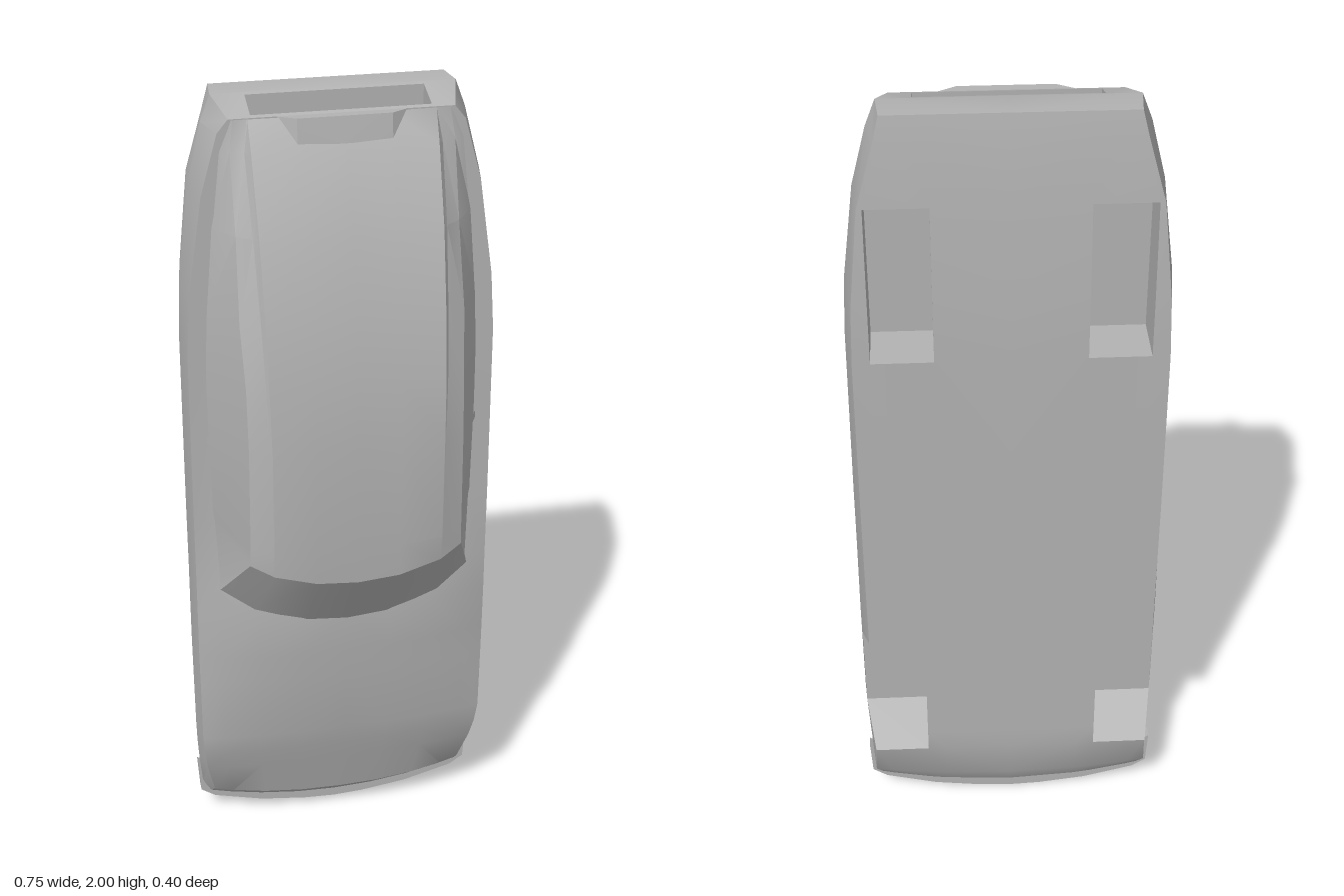
import * as THREE from 'three';
import { toCreasedNormals } from 'three/addons/utils/BufferGeometryUtils.js';

const paint = new THREE.MeshStandardMaterial({ color: 0xb2b2b2, side: THREE.DoubleSide });
paint.name = 'grey paint';

// Collects faces of the left half and mirrors each one to the right.
class HalfShell {
  constructor() { this.pos = []; }
  tri(a, b, c) {
    const m = (p) => [-p[0], p[1], p[2]];
    this.pos.push(...a, ...b, ...c, ...m(a), ...m(c), ...m(b));
  }
  quad(a, b, c, d) { this.tri(a, b, c); this.tri(a, c, d); }
  // Joins cross-section rings, leaving out the skipped faces.
  loft(rings, skip = () => false) {
    for (let k = 0; k < rings.length - 1; k++) {
      const r = rings[k], s = rings[k + 1];
      for (let i = 0; i < r.length - 1; i++) {
        if (!skip(k, i)) this.quad(r[i], s[i], s[i + 1], r[i + 1]);
      }
    }
  }
  mesh(name, crease = 0.5) {
    const g = new THREE.BufferGeometry();
    g.setAttribute('position', new THREE.Float32BufferAttribute(this.pos, 3));
    const m = new THREE.Mesh(toCreasedNormals(g, crease), paint);
    m.name = name;
    return m;
  }
}

// Stations from nose to tail: y, floor x, floor z, waist x, shoulder x, shoulder z, deck centre z
const stations = [
  [0.03, 0.34, -0.14, 0.345, 0.34, -0.105, -0.1],
  [0.09, 0.355, -0.172, 0.362, 0.335, -0.06, -0.035],
  [0.22, 0.35, -0.2, 0.371, 0.355, -0.02, 0.002],
  [0.28, 0.35, -0.2, 0.374, 0.362, 0, 0.018],
  [0.34, 0.352, -0.2, 0.375, 0.367, 0.01, 0.032],
  [0.52, 0.352, -0.2, 0.375, 0.367, 0.012, 0.053],
  [0.6, 0.352, -0.2, 0.375, 0.367, 0.012, 0.06],
  [0.72, 0.352, -0.2, 0.374, 0.366, 0.014, 0.07],
  [0.82, 0.352, -0.2, 0.373, 0.365, 0.014, 0.055],
  [1.0, 0.352, -0.2, 0.372, 0.364, 0.014, 0.025],
  [1.43, 0.35, -0.2, 0.368, 0.36, 0.012, 0.012],
  [1.57, 0.345, -0.196, 0.362, 0.35, 0.012, 0.012],
  [1.8, 0.322, -0.181, 0.333, 0.315, 0.012, 0.012],
  [1.94, 0.283, -0.168, 0.298, 0.275, 0.012, 0.012],
  [2.0, 0.268, -0.158, 0.275, 0.25, 0.012, 0.012],
];

function bodyRing([y, xb, zb, xm, xs, zs, zc]) {
  // the nose is bowed in plan, and the waist drops towards it
  const bow = Math.max(0, 0.065 - 0.35 * y);
  const zm = y > 1.9 ? -0.08 : -0.07 - 0.05 * Math.max(0, 1 - y / 0.2);
  const at = (x, z, yy = y) => [x, yy + bow * (x / 0.37) ** 2, z];
  const floor = [0, 0.17, 0.215, 0.31].map((x) => at(Math.min(x, xb - 0.01), zb));
  const deck = [1, 0.85, 0.6, 0.3, 0].map((f) =>
    at(xs * f, zs + (zc - zs) * (1 - f ** 3), Math.min(y, 1.97)));
  return [...floor, at(xb, zb), at(xm, zm), ...deck];
}

function buildBody() {
  const s = new HalfShell();
  const rings = stations.map(bodyRing);
  s.loft(rings, (k, i) =>
    (k >= 2 && k <= 5 && i >= 2 && i <= 4) ||    // front arches
    (k >= 10 && k <= 11 && (i === 1 || i === 2))); // rear wells
  // slanted ends of the front arches
  s.tri(rings[2][4], rings[3][5], rings[2][5]);
  s.tri(rings[6][4], rings[6][5], rings[5][5]);
  // flat tail face
  const [a, b, c] = rings.at(-1).slice(4, 7);
  s.quad([0, 2, a[2]], [0, 2, b[2]], b, a);
  // sloping tail face with a sunken panel
  const p = (x, z) => [x, 2 - 0.03 * (z + 0.08) / 0.092, z];
  const f = (x, z) => [x, 1.95, z];
  const w = 0.2, z0 = -0.07, z1 = 0.002;
  s.quad(p(w, -0.08), p(w, 0.012), c, b);
  s.quad(p(0, -0.08), p(0, z0), p(w, z0), p(w, -0.08));
  s.quad(p(0, z1), p(0, 0.012), p(w, 0.012), p(w, z1));
  s.quad(f(0, z0), f(0, z1), f(w, z1), f(w, z0));
  s.quad(p(0, z0), f(0, z0), f(w, z0), p(w, z0));
  s.quad(f(0, z1), p(0, z1), p(w, z1), f(w, z1));
  s.quad(p(w, z0), f(w, z0), f(w, z1), p(w, z1));
  return s.mesh('lowerBody');
}

function buildWells() {
  const s = new HalfShell();
  const zb = -0.2, zt = -0.07;
  // front arches, open at the side, with slanted ends
  const xi = 0.215, xb = 0.351, xt = 0.374;
  s.quad([xi, 0.22, zb], [xi, 0.28, zt], [xt, 0.28, zt], [xb, 0.22, zb]);
  s.quad([xi, 0.28, zt], [xi, 0.52, zt], [xt, 0.52, zt], [xt, 0.28, zt]);
  s.quad([xi, 0.52, zt], [xi, 0.6, zb], [xb, 0.6, zb], [xt, 0.52, zt]);
  s.quad([xi, 0.22, zb], [xi, 0.6, zb], [xi, 0.52, zt], [xi, 0.28, zt]);
  // rear wells, boxed in under the rising floor
  const x0 = 0.17, x1 = 0.31, y0 = 1.43, ym = 1.57, y1 = 1.8, zm = -0.196, ze = -0.181;
  s.quad([x0, y0, zt], [x0, y1, zt], [x1, y1, zt], [x1, y0, zt]);
  s.quad([x0, y0, zb], [x0, y0, zt], [x1, y0, zt], [x1, y0, zb]);
  s.quad([x0, y1, zt], [x0, y1, ze], [x1, y1, ze], [x1, y1, zt]);
  for (const x of [x0, x1]) {
    const sides = [
      [[x, y0, zb], [x, ym, zm], [x, ym, zt], [x, y0, zt]],
      [[x, ym, zm], [x, y1, ze], [x, y1, zt], [x, ym, zt]],
    ];
    for (const q of sides) s.quad(...(x === x1 ? q.reverse() : q));
  }
  return s.mesh('wheelWells', 0.3);
}

// Cabin stations: y, bow, sill x, window top x, window top z, roof x, roof z, buttress step
const cabinStations = [
  [0.695, 0.115, 0.315, 0.31, 0.04, 0.23, 0.06, 0.001],
  [0.888, 0.1, 0.317, 0.255, 0.175, 0.2, 0.194, 0.001],
  [0.98, 0.03, 0.32, 0.253, 0.176, 0.2, 0.2, 0.001],
  [1.25, 0, 0.322, 0.25, 0.175, 0.2, 0.2, 0.002],
  [1.4, 0, 0.32, 0.25, 0.16, 0.202, 0.187, 0.007],
  [1.54, 0, 0.312, 0.255, 0.125, 0.203, 0.165, 0.012],
  [1.73, 0, 0.295, 0.25, 0.075, 0.205, 0.118, 0.018],
  [1.9, 0, 0.275, 0.25, 0.022, 0.207, 0.05, 0.02],
  [1.968, 0, 0.25, 0.24, 0.013, 0.208, 0.014, 0.001],
];

function cabinRing([y, bow, xSill, xTop, zTop, xRoof, zRoof, step]) {
  const at = (x, z) => [x, y + bow * (x / 0.31) ** 2.2, z];
  return [
    at(xSill, 0.01), at(xTop, zTop), at(xRoof + 0.002 + step * 0.5, zRoof - step),
    at(xRoof, zRoof), at(0.1, zRoof + 0.002), at(0, zRoof + 0.002),
  ];
}

function buildCabin() {
  const s = new HalfShell();
  s.loft(cabinStations.map(cabinRing));
  return s.mesh('cabin', 0.4);
}

// Slim strips dividing the side windows
function buildPillars() {
  const s = new HalfShell();
  s.quad([0.325, 1.2, 0.012], [0.325, 1.22, 0.012], [0.253, 1.26, 0.174], [0.253, 1.24, 0.174]);
  return s.mesh('windowPillars');
}

// Raised lip in the middle of the tail edge
function buildLip() {
  const s = new HalfShell();
  const a = [0.105, 1.912, 0.044], b = [0.105, 1.97, 0.036], c = [0.145, 1.97, 0.012];
  s.quad([0, 1.912, 0.046], a, b, [0, 1.97, 0.036]);
  s.tri(a, c, b);
  s.quad([0, 1.97, 0.012], [0, 1.97, 0.036], b, c);
  return s.mesh('tailLip', 0.2);
}

// Thin curved blade around the nose
function buildSplitter() {
  const half = [[0.371, 0.17], [0.366, 0.08], [0.33, 0.055], [0.2, 0.02], [0.08, 0.004], [0, 0]];
  const mirrored = half.slice(0, -1).map(([x, y]) => [-x, y]).reverse();
  const outline = [...half, ...mirrored, [-0.33, 0.14], [0.33, 0.14]];
  const shape = new THREE.Shape(outline.map(([x, y]) => new THREE.Vector2(x, y)));
  const g = new THREE.ExtrudeGeometry(shape, { depth: 0.03, bevelEnabled: false });
  g.translate(0, 0, -0.136);
  const m = new THREE.Mesh(g, paint);
  m.name = 'frontSplitter';
  return m;
}

export function createModel() {
  const car = new THREE.Group();
  car.name = 'carBody';
  car.add(buildBody(), buildWells(), buildCabin(), buildPillars(), buildLip(), buildSplitter());
  return car;
}
